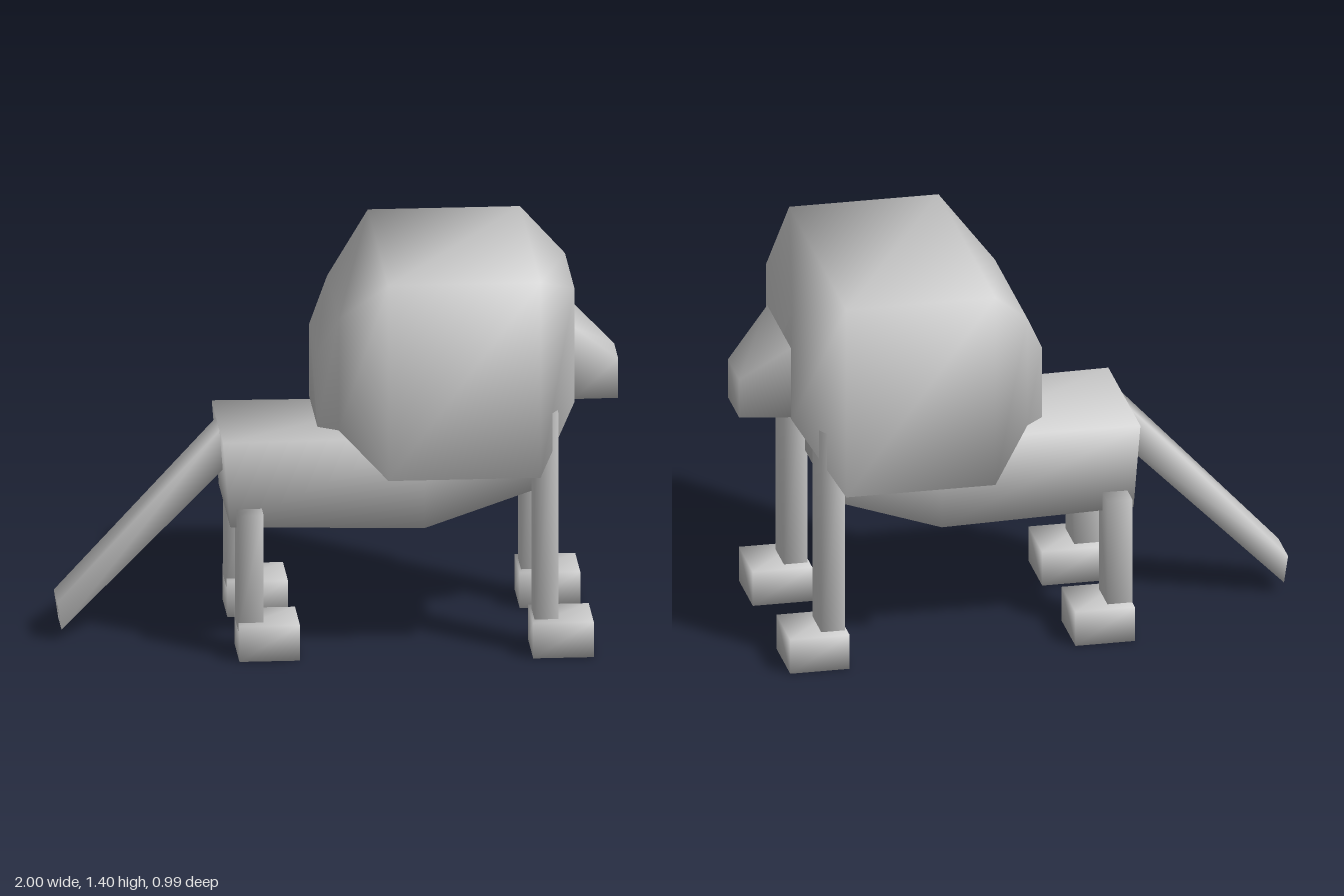
import * as THREE from 'three';

const material = new THREE.MeshStandardMaterial({ color: 0xcccccc });

// Skins rings of [x, y, z] points that follow each other along +x, closing both ends;
// shared corners give soft shading on the low-poly shape.
function loft(name, rings, capStart = 0) {
  const n = rings[0].length;
  const last = (rings.length - 1) * n;
  const index = [];
  for (let i = 0; i < rings.length - 1; i++) {
    for (let j = 0; j < n; j++) {
      const a = i * n + j, b = i * n + (j + 1) % n;
      index.push(a, b, a + n, b, b + n, a + n);
    }
  }
  for (let k = 1; k < n - 1; k++) {
    const p = capStart, q = (capStart + k) % n, r = (capStart + k + 1) % n;
    index.push(p, r, q, last + p, last + q, last + r);
  }
  const geometry = new THREE.BufferGeometry();
  geometry.setAttribute('position', new THREE.Float32BufferAttribute(rings.flat(2), 3));
  geometry.setIndex(index);
  geometry.computeVertexNormals();
  const mesh = new THREE.Mesh(geometry, material);
  mesh.name = name;
  return mesh;
}

// Four-cornered ring; the lower corners may sit at a different x and half width.
const ring = (x, yBottom, yTop, half, xBottom = x, halfBottom = half) => [
  [xBottom, yBottom, -halfBottom], [x, yTop, -half], [x, yTop, half], [xBottom, yBottom, halfBottom],
];

// Mane ring: box whose underside is hollowed upward between the cheeks.
const maneRing = (x, yBottom, yTop, half, yInner, halfInner) => [
  ...ring(x, yBottom, yTop, half), [x, yInner, halfInner], [x, yInner, -halfInner],
];

const block = (name, x, z, y0, y1, sx, sz) => {
  const mesh = loft(name, [ring(-sx / 2, y0, y1, sz / 2), ring(sx / 2, y0, y1, sz / 2)]);
  mesh.position.set(x, 0, z);
  return mesh;
};

export function createModel() {
  const model = new THREE.Group();
  model.name = 'lion';
  const animal = new THREE.Group();
  animal.name = 'animal';
  animal.rotation.y = 0.05;
  animal.position.z = 0.02;
  model.add(animal);

  // Body, rising into the neck inside the mane
  animal.add(loft('body', [
    ring(-0.425, 0.46, 0.77, 0.27, -0.4),
    ring(0.29, 0.435, 0.77, 0.25),
    ring(0.68, 0.565, 0.9, 0.24),
  ]));

  // Mane
  animal.add(loft('mane', [
    maneRing(-0.085, 0.8, 1.07, 0.19, 0.8, 0.14),
    maneRing(-0.015, 0.81, 1.22, 0.275, 0.81, 0.17),
    maneRing(0.145, 0.68, 1.4, 0.48, 0.8, 0.2),
    maneRing(0.685, 0.68, 1.4, 0.48, 0.87, 0.22),
    maneRing(0.825, 0.88, 1.3, 0.22, 0.88, 0.18),
  ], 1));

  // Muzzle
  animal.add(loft('muzzle', [
    ring(0.78, 0.89, 1.18, 0.2),
    ring(0.825, 0.885, 1.15, 0.2),
    ring(0.99, 0.855, 1.0, 0.095),
  ]));

  // Tail
  animal.add(loft('tail', [
    ring(-1.0, 0.04, 0.14, 0.082, -0.985),
    ring(-0.42, 0.63, 0.767, 0.082, -0.4),
  ]));

  // Legs and paws
  for (const side of [1, -1]) {
    const word = side > 0 ? 'Left' : 'Right';
    animal.add(
      block('front' + word + 'Leg', 0.713, side * 0.315, 0.1, 0.89, 0.085, 0.145),
      block('front' + word + 'Paw', 0.77, side * 0.315, 0, 0.13, 0.215, 0.235),
      block('rear' + word + 'Leg', -0.333, side * 0.28, 0.1, 0.525, 0.09, 0.145),
      block('rear' + word + 'Paw', -0.27, side * 0.28, 0, 0.13, 0.215, 0.235),
    );
  }
  return model;
}
